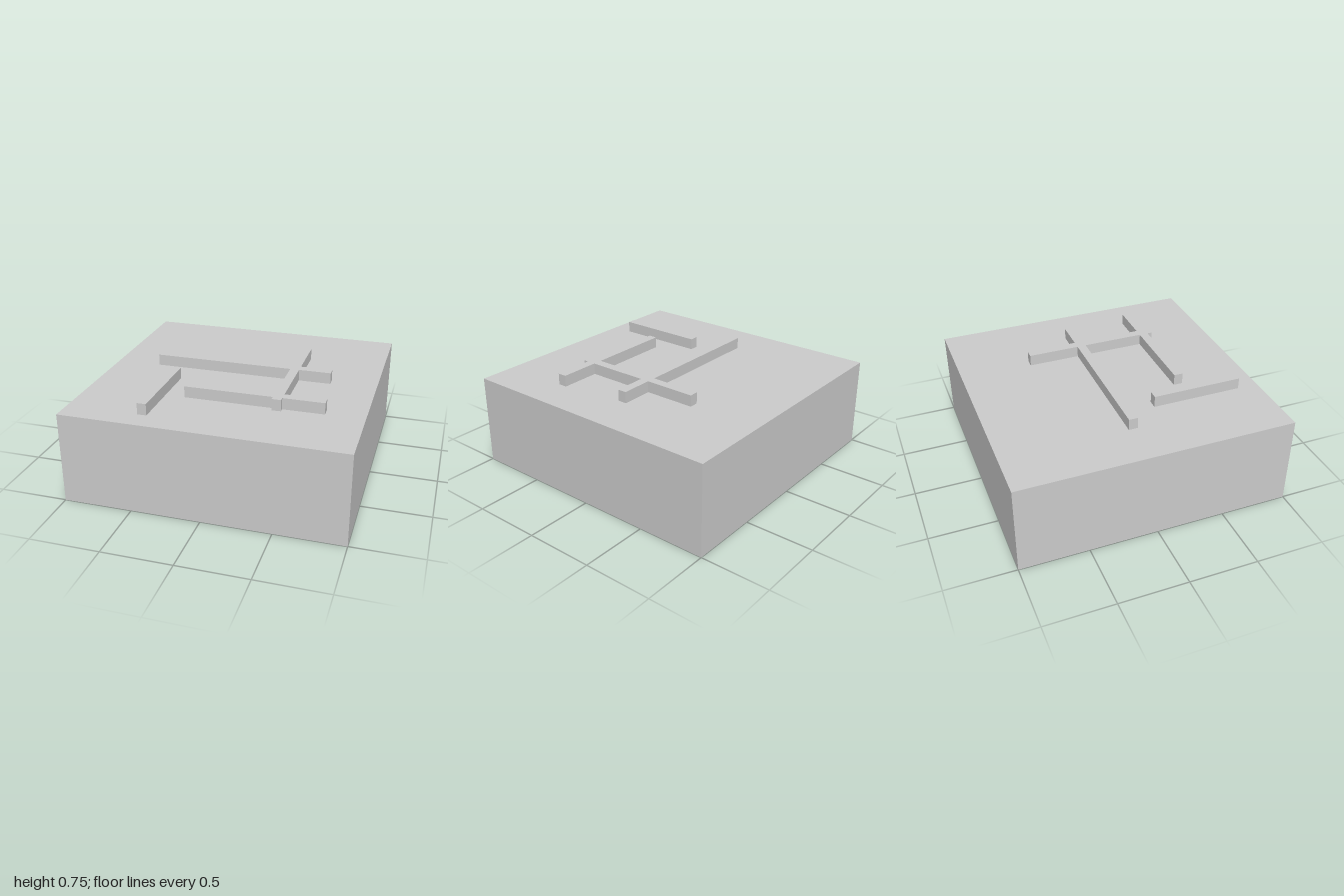
import * as THREE from 'three';

const BASE_TOP = 0.667;
const WALL_TOP = 0.75;

export function createModel() {
  const model = new THREE.Group();
  model.name = 'wallsOnBlock';
  const material = new THREE.MeshStandardMaterial({ color: 0xcccccc, flatShading: true });

  const add = (name, geometry) => {
    const mesh = new THREE.Mesh(geometry, material);
    mesh.name = name;
    model.add(mesh);
  };

  // Raises a wall from its floor plan, given as [x, z] corners
  const addWall = (name, plan) => {
    const shape = new THREE.Shape(plan.map(([x, z]) => new THREE.Vector2(x, z)));
    const geometry = new THREE.ExtrudeGeometry(shape, { depth: WALL_TOP - BASE_TOP, bevelEnabled: false });
    geometry.rotateX(Math.PI / 2).translate(0, WALL_TOP, 0);
    add(name, geometry);
  };

  // Solid square block
  add('base', new THREE.BoxGeometry(2, BASE_TOP, 2).translate(0, BASE_TOP / 2, 0));

  // Long wall crossed by two others, merged into one outline
  const [x0, x1] = [0.364, 0.43]; // faces of the front-to-back wall
  const [a0, a1] = [-0.091, -0.025]; // faces of the rear cross wall
  const [b0, b1] = [0.429, 0.495]; // faces of the front cross wall
  addWall('crossingWalls', [
    [x0, -0.469], [x1, -0.469],
    [x1, a0], [0.664, a0], [0.664, a1], [x1, a1],
    [x1, b0], [0.725, b0], [0.725, b1], [x1, b1],
    [x1, 0.53], [x0, 0.53],
    [x0, b1], [-0.273, b1], [-0.273, b0], [x0, b0],
    [x0, a1], [-0.668, a1], [-0.668, a0], [x0, a0],
  ]);

  // Separate short wall
  addWall('freeWall', [[-0.481, 0.181], [-0.415, 0.181], [-0.415, 0.845], [-0.481, 0.845]]);

  return model;
}
